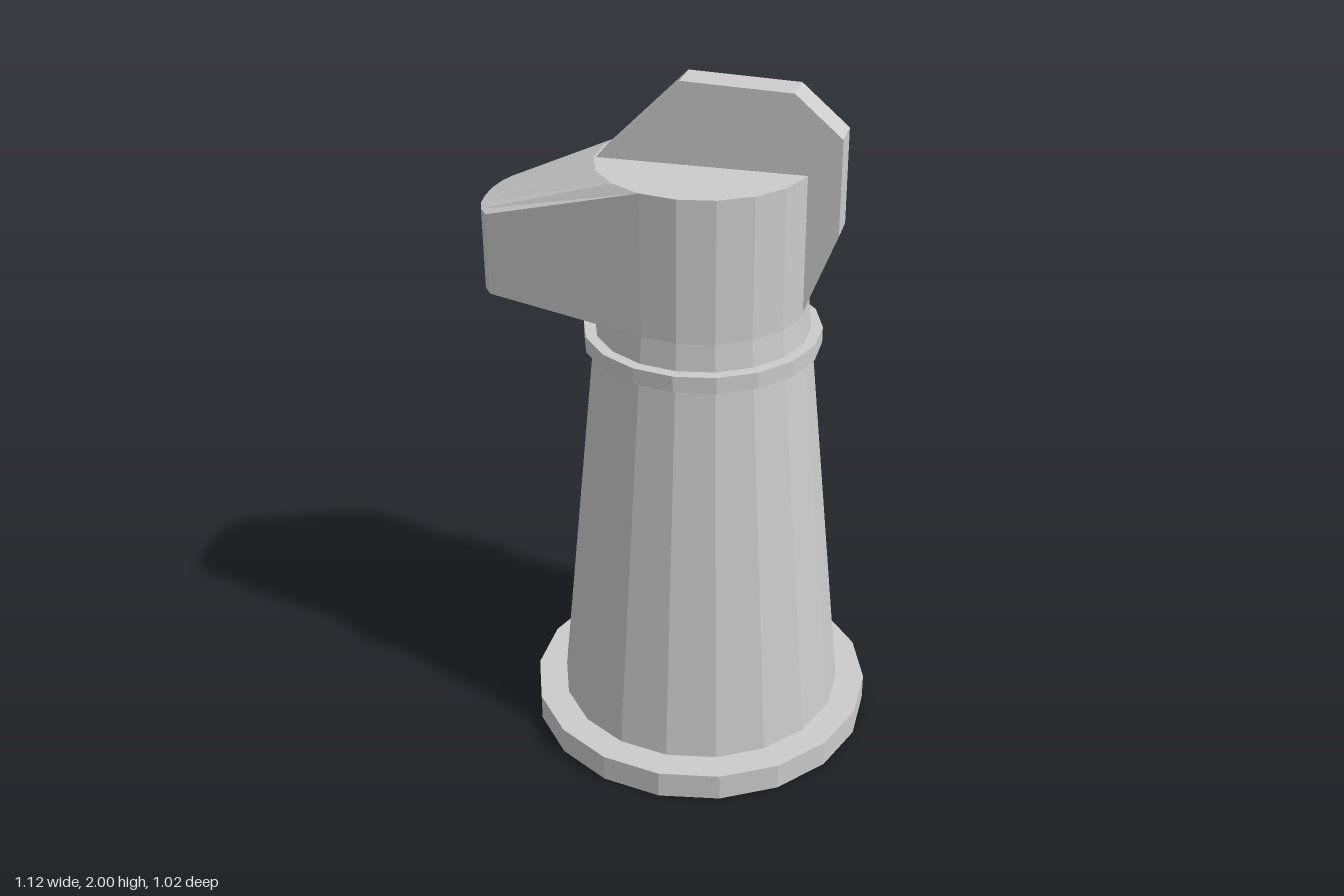
import * as THREE from 'three';

const SIDES = 18;
const AXIS_X = 0.055;
const material = new THREE.MeshStandardMaterial({ color: 0xcccccc, flatShading: true });

function part(name, geometry) {
  const mesh = new THREE.Mesh(geometry, material);
  mesh.name = name;
  return mesh;
}

// Upright faceted drum on the piece's axis
function drum(name, rBottom, rTop, y0, y1) {
  const geometry = new THREE.CylinderGeometry(rTop, rBottom, y1 - y0, SIDES);
  geometry.translate(AXIS_X, (y0 + y1) / 2, 0);
  return part(name, geometry);
}

// Snout: lofts the left-hand arc of the head to a shallower, lower arc at the nose
function snoutGeometry(radius) {
  const half = [[-0.51, 0.166], [-0.536, 0.13], [-0.552, 0.085], [-0.56, 0.03]];
  const nose = [...half, ...half.map(([x, z]) => [x, -z]).reverse()];
  const sections = nose.map(([x, z], k) => {
    const a = -((k + 1) * 2 * Math.PI) / SIDES;
    const ix = AXIS_X + radius * Math.sin(a);
    const iz = radius * Math.cos(a);
    return [[ix, 1.367, iz], [ix, 1.772, iz], [x, 1.625, z], [x, 1.39, z]];
  });
  const positions = [];
  const quad = (a, b, c, d) => positions.push(...a, ...b, ...c, ...a, ...c, ...d);
  for (let k = 0; k < sections.length - 1; k++) {
    const s = sections[k], t = sections[k + 1];
    for (let j = 0; j < 4; j++) {
      const n = (j + 1) % 4;
      quad(s[j], t[j], t[n], s[n]);
    }
  }
  // Flat cheeks
  quad(...sections[0]);
  quad(...[...sections[sections.length - 1]].reverse());
  const geometry = new THREE.BufferGeometry();
  geometry.setAttribute('position', new THREE.Float32BufferAttribute(positions, 3));
  geometry.computeVertexNormals();
  return geometry;
}

// Mane: thin upright plate running over the crown and down the back
function maneGeometry() {
  const outline = [
    [-0.232, 1.77], [0, 2], [0.305, 1.99], [0.435, 1.878],
    [0.435, 1.61], [0.342, 1.37], [0.2, 1.37], [0.2, 1.7],
  ].map(([x, y]) => new THREE.Vector2(x, y));
  const geometry = new THREE.ExtrudeGeometry(new THREE.Shape(outline), { depth: 0.1, bevelEnabled: false });
  geometry.translate(0, 0, -0.05);
  return geometry;
}

export function createModel() {
  const model = new THREE.Group();
  model.name = 'chessKnight';
  model.add(
    drum('base', 0.51, 0.51, 0, 0.082),
    drum('body', 0.424, 0.296, 0.082, 1.367),
    drum('collar', 0.336, 0.336, 1.243, 1.29),
    drum('head', 0.296, 0.296, 1.367, 1.772),
    part('snout', snoutGeometry(0.296)),
    part('mane', maneGeometry()),
  );
  return model;
}
